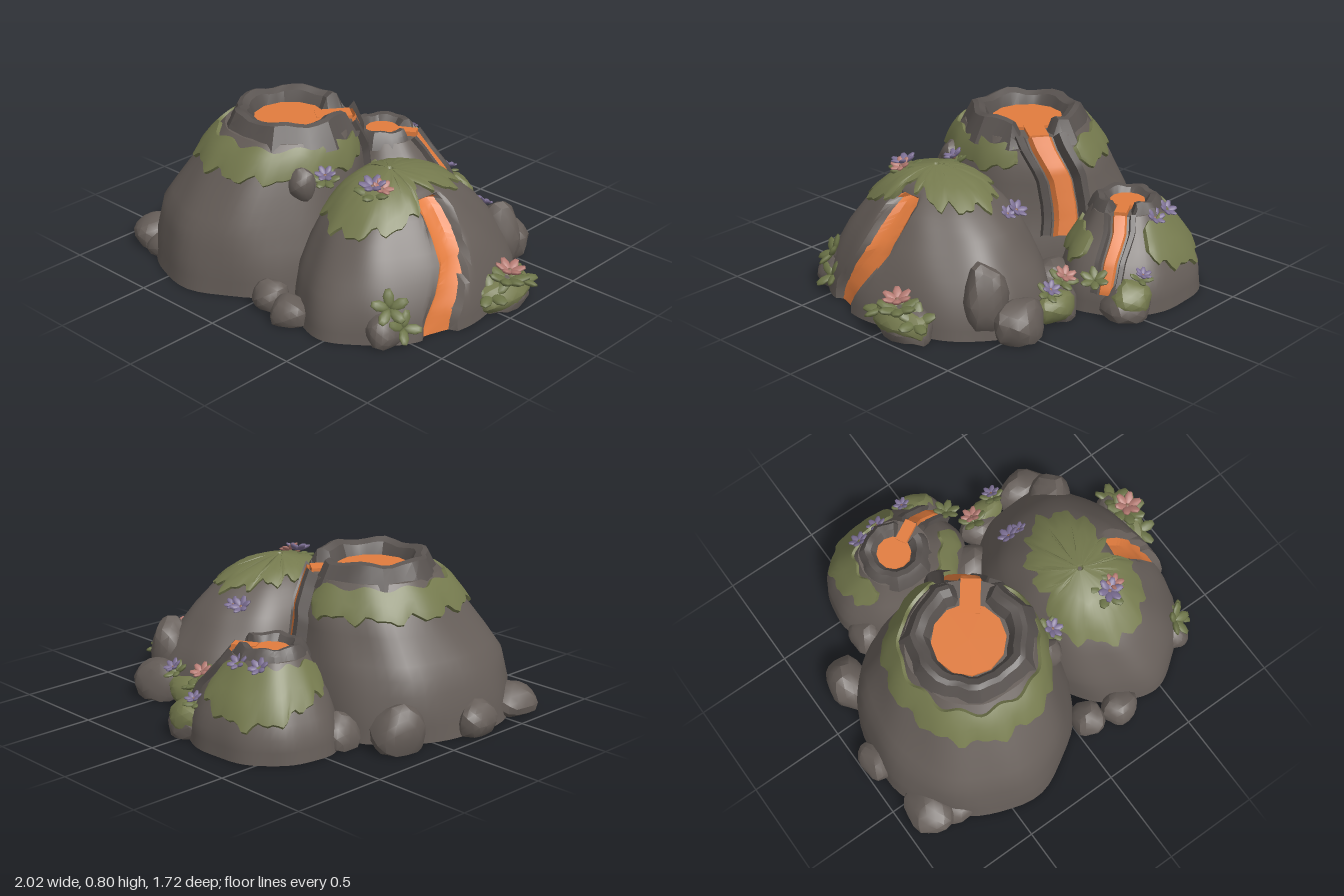
import * as THREE from 'three';
import { toCreasedNormals } from 'three/addons/utils/BufferGeometryUtils.js';

const material = (name, color, side = THREE.FrontSide) => {
  const m = new THREE.MeshStandardMaterial({ color, side });
  m.name = name;
  return m;
};
const rad = THREE.MathUtils.degToRad, { lerp, clamp, smoothstep } = THREE.MathUtils;

// Grid surface from fn(u, v) with u around and v upward; outward faces.
function grid(nu, nv, fn, crease = 0.55) {
  const pos = [], idx = [];
  for (let i = 0; i <= nu; i++) for (let j = 0; j <= nv; j++) pos.push(...fn(i / nu, j / nv, i, j));
  for (let i = 0; i < nu; i++) for (let j = 0; j < nv; j++) {
    const a = i * (nv + 1) + j, b = a + nv + 1;
    idx.push(a, a + 1, b, b, a + 1, b + 1);
  }
  const g = new THREE.BufferGeometry();
  g.setAttribute('position', new THREE.Float32BufferAttribute(pos, 3));
  g.setIndex(idx);
  return toCreasedNormals(g, crease);
}

// Stream paths as [degrees, y], running downhill
const MAIN_PATH = [[-53, .71], [-58, .6], [-62, .5], [-62, .38], [-60, .22]];
const HILL_PATH = [[3, .55], [5, .45], [7, .3], [14, .2], [21.5, .08], [22.5, 0]];
const SMALL_PATH = [[-29, .43], [-31, .36], [-27, .26], [-24, .1]];

// Mounds; rings are [y, centre x, centre z, radius x, radius z]
const MAIN = { rings: [[0, -.39, .27, .54, .58], [.15, -.385, .265, .53, .57], [.3, -.38, .26, .49, .54],
  [.42, -.35, .24, .44, .49], [.55, -.32, .21, .39, .43], [.65, -.3, .2, .345, .365], [.71, -.29, .185, .31, .32]] };
const HILL = { groove: HILL_PATH, rings: [[0, .44, .12, .46, .63], [.1, .44, .12, .45, .615], [.2, .43, .12, .43, .58],
  [.32, .42, .125, .385, .5], [.42, .405, .125, .33, .425], [.5, .4, .13, .275, .34], [.56, .39, .14, .215, .265],
  [.6, .385, .155, .16, .2], [.625, .38, .17, .09, .12], [.64, .38, .175, .01, .01]] };
const SMALL = { rings: [[0, -.26, -.53, .39, .33], [.12, -.26, -.53, .38, .32], [.24, -.26, -.52, .325, .275],
  [.34, -.27, -.51, .245, .215], [.43, -.275, -.5, .185, .17]] };

// Angle of a path at height y
function pathAngle(path, y) {
  let k = 0;
  while (k < path.length - 2 && y < path[k + 1][1]) k++;
  const [[a0, y0], [a1, y1]] = [path[k], path[k + 1]];
  return rad(lerp(a0, a1, clamp((y0 - y) / (y0 - y1), 0, 1)));
}

// Point on a mound at angle a (radians) and height y, pushed out by lift
function onMound({ rings, groove }, a, y, lift = 0, shrink = 1) {
  y = clamp(y, 0, rings[rings.length - 1][0]);
  let k = 0;
  while (k < rings.length - 2 && y > rings[k + 1][0]) k++;
  const f = (y - rings[k][0]) / (rings[k + 1][0] - rings[k][0]);
  const [, cx, cz, rx, rz] = rings[k].map((p, n) => lerp(p, rings[k + 1][n], f));
  const bump = (1 + .014 * Math.sin(5 * a + 4 * y) + .01 * Math.sin(9 * a - 6 * y + 1)) * shrink;
  let out = lift * Math.min(1, .4 + rx * 1.5);
  if (groove) {
    const d = a - pathAngle(groove, y), arc = Math.abs(Math.atan2(Math.sin(d), Math.cos(d))) * (rx + rz) / 2;
    out -= lerp(.05, .1, y / .55) * shrink * (1 - smoothstep(arc, .058, .085)) * (1 - smoothstep(y, .53, .57));
  }
  return [cx + Math.cos(a) * (rx * bump + out), y + (y > .01 ? lift * .7 : 0), cz + Math.sin(a) * (rz * bump + out)];
}

function moundGeometry(mound, segments) {
  const { rings } = mound, rows = [[0, 0]];
  rings.forEach((r, i) => {
    rows.push([r[0], 1]);
    if (i < rings.length - 1) rows.push([(r[0] + rings[i + 1][0]) / 2, 1]);
  });
  rows.push([rings[rings.length - 1][0], 0]);
  return grid(segments, rows.length - 1, (u, v, i, j) => onMound(mound, u * Math.PI * 2, rows[j][0], 0, rows[j][1]));
}

// Ragged moss blanket between two heights over an arc in degrees
function mossGeometry(mound, from, to, low, high) {
  const n = Math.round((to - from) / 4), lifts = [-.012, .014, .018, .018, .018, .016, -.012];
  const steps = [0, .02, .25, .5, .75, .98, 1];
  return grid(n, 6, (u, v, i, j) => {
    const a = rad(from + (to - from) * u);
    const jag = .016 * Math.sin(a * 13) + .012 * Math.sin(a * 23 + 2);
    const end = Math.min(1, Math.min(i, n - i) / 3);
    const lo = low(a) + jag, hi = high + .012 * Math.sin(a * 11 + 1);
    const y = lerp((lo + hi) / 2, lerp(lo, hi, steps[j]), to - from < 360 ? .35 + .65 * end : 1);
    return onMound(mound, a, y, to - from < 360 && (i === 0 || i === n) ? -.012 : lifts[j]);
  }, .9);
}

// Strip running down a mound along a path; offset shifts it sideways
function stripGeometry(mound, path, half, lift, offset = 0) {
  const top = path[0][1], bottom = path[path.length - 1][1];
  return grid(4, 24, (u, v, i) => {
    const y = lerp(bottom, top, v), a = pathAngle(path, y);
    const p = onMound(mound, a, y), q = onMound(mound, a + Math.PI, y);
    const r = Math.max(.1, Math.hypot(p[0] - q[0], p[2] - q[2]) / 2);
    return onMound(mound, a + (offset + (u * 2 - 1) * half) / r, y, i === 0 || i === 4 ? -.02 : lift);
  });
}

// Crater wall with an opening at the given angle
function rimGeometry(cx, cz, y0, profile, gap, gapHalf) {
  const n = 30;
  return grid(n, profile.length - 1, (u, v, i, j) => {
    const a = rad(gap + gapHalf + (360 - 2 * gapHalf) * u);
    const [r, h] = profile[j], end = i === 0 || i === n ? .1 : 1;
    const rr = r * (1 + .03 * Math.sin(a * 7) + .02 * Math.sin(a * 12 + 1));
    return [cx + Math.cos(a) * rr, y0 + h * end * (1 + .07 * Math.sin(a * 6 + 2) - .05), cz + Math.sin(a) * rr];
  }, .45);
}

// Lumpy stone, flattened where it meets the ground
function boulderGeometry(x, y, z, rx, ry, rz) {
  const g = new THREE.IcosahedronGeometry(1, 2), p = g.attributes.position;
  for (let i = 0; i < p.count; i++) {
    const a = p.getX(i), b = p.getY(i), c = p.getZ(i);
    const s = 1 + .06 * Math.sin(3 * a + 5 * c + x * 20) + .05 * Math.sin(4 * b - 3 * a + z * 20);
    p.setXYZ(i, x + a * rx * s, Math.max(0, y + b * ry * s), z + c * rz * s);
  }
  return toCreasedNormals(g, .5);
}

export function createModel() {
  const model = new THREE.Group();
  model.name = 'volcanicIsland';
  const rock = material('rock', 0x665e59), basalt = material('dark basalt', 0x58524f);
  const moss = material('moss', 0x757a4e, THREE.DoubleSide), lava = material('lava', 0xe27c3e, THREE.DoubleSide);
  const leaf = material('leaf', 0x6c7448), pink = material('pink petal', 0xb47a72);
  const purple = material('purple petal', 0x7c6f94), pollen = material('flower centre', 0x8f6a58);
  const add = (name, geo, mat, parent = model) => {
    const m = new THREE.Mesh(geo, mat);
    m.name = name;
    parent.add(m);
    return m;
  };

  // Mounds
  add('mainVolcano', moundGeometry(MAIN, 60), rock);
  add('roundHill', moundGeometry(HILL, 140), rock);
  add('smallVolcano', moundGeometry(SMALL, 60), rock);

  // Crater walls and lava pools
  add('mainCraterRim', rimGeometry(-.28, .18, .66, [[.34, 0], [.305, .07], [.275, .13], [.25, .14], [.215, .12], [.185, .05], [.175, 0]], -53, 14), basalt);
  add('smallCraterRim', rimGeometry(-.275, -.495, .4, [[.19, 0], [.165, .06], [.145, .085], [.115, .08], [.085, .04], [.08, 0]], -29, 17), basalt);
  for (const [name, r, x, y, z] of [['mainLavaPool', .182, -.29, .715, .18], ['smallLavaPool', .088, -.28, .44, -.495]])
    add(name, new THREE.CylinderGeometry(r, r, .02, 12), lava).position.set(x, y, z);

  // Lava outlets joining pool and stream
  for (const [name, x, y, z, len, w, turn] of [['mainLavaOutlet', -.157, .712, .005, .18, .1, 53], ['smallLavaOutlet', -.165, .44, -.555, .12, .06, 29]]) {
    const m = add(name, new THREE.BoxGeometry(len, .03, w), lava);
    m.position.set(x, y, z);
    m.rotation.y = rad(turn);
  }

  // Lava streams; the volcanoes' streams run between raised banks
  add('mainLavaStream', stripGeometry(MAIN, MAIN_PATH, .085, .02), lava);
  add('mainWestBank', stripGeometry(MAIN, MAIN_PATH, .035, .05, -.1), basalt);
  add('mainEastBank', stripGeometry(MAIN, MAIN_PATH, .035, .03, .1), basalt);
  add('hillLavaStream', stripGeometry(HILL, HILL_PATH, .064, .01), lava);
  add('smallLavaStream', stripGeometry(SMALL, SMALL_PATH, .052, .014), lava);
  for (const s of [-1, 1])
    add('smallStreamBank', stripGeometry(SMALL, SMALL_PATH, .022, .026, s * .064), basalt);

  // Moss blankets
  const hillLow = [.6, .47, .43, .45, .565, .555, .52, .53];
  const hillEdge = a => {
    const t = (a / (Math.PI / 4)) % 8, k = Math.floor(t);
    return lerp(hillLow[k], hillLow[(k + 1) % 8], smoothstep(t - k, 0, 1));
  };
  add('mainMossBand', mossGeometry(MAIN, -35, 282, () => .55, .685), moss);
  add('hillMossCap', mossGeometry(HILL, 0, 360, hillEdge, .66), moss);
  add('smallMossBack', mossGeometry(SMALL, 140, 300, a => .22 + .06 * Math.cos(a * 2 + 1), .41), moss);
  add('smallMossFront', mossGeometry(SMALL, 0, 75, () => .22, .35), moss);

  // Boulders
  const boulders = [
    [-.81, .08, -.17, .11, .14, .15], [-.92, .06, .25, .08, .1, .11], [-.84, .05, .6, .12, .1, .14], [-.7, .03, .67, .13, .08, .08],
    [.08, .05, .69, .09, .09, .09], [.25, .04, .73, .1, .09, .09], [.67, .14, .51, .08, .1, .09], [.71, .06, .57, .08, .1, .1],
    [.54, .07, -.52, .14, .13, .11], [.62, .18, -.37, .11, .18, .11], [.02, .53, .41, .07, .09, .07], [.06, .05, -.32, .15, .14, .14],
    [.87, .04, -.1, .1, .12, .16], [.02, .05, -.73, .12, .11, .12], [-.58, .04, -.34, .09, .12, .1], [.24, .05, -.49, .11, .1, .1],
  ];
  boulders.forEach(b => add('boulder', boulderGeometry(...b), rock));
  add('mossyBoulder', boulderGeometry(.01, .09, -.75, .11, .09, .1), moss);
  add('mossyBoulder', boulderGeometry(.89, .07, -.08, .085, .08, .18), moss);
  add('mossyBoulder', boulderGeometry(.3, .08, -.53, .12, .08, .07), moss);

  // Rosettes of petals or leaves around a local up axis
  const blade = new THREE.SphereGeometry(1, 7, 5);
  const rosette = (parent, name, n, len, width, tilt, mat) => {
    for (let i = 0; i < n; i++) {
      const arm = new THREE.Group();
      arm.rotation.set(0, i / n * Math.PI * 2 + n, tilt, 'YXZ');
      const b = add(name, blade, mat, arm);
      b.scale.set(len / 2, width * .25, width / 2);
      b.position.x = len / 2;
      parent.add(arm);
    }
  };
  const plant = (pos, up, size, mat, leaves = 0) => {
    const g = new THREE.Group();
    g.name = mat ? 'flower' : 'leafTuft';
    g.position.set(...pos);
    g.quaternion.setFromUnitVectors(new THREE.Vector3(0, 1, 0), new THREE.Vector3(...up).normalize());
    if (leaves) {
      const base = new THREE.Group();
      base.position.y = mat ? -size * .6 : 0;
      rosette(base, 'leaf', leaves, size * 1.35, size * .75, .35, leaf);
      g.add(base);
    }
    if (mat) {
      rosette(g, 'petal', 6, size, size * .55, .45, mat);
      add('flowerCentre', blade, pollen, g).scale.setScalar(size * .2);
    }
    model.add(g);
  };

  // Flowers and leaf tufts
  plant([.43, .625, .35], [.1, 1, .2], .075, purple, 5);
  plant([.47, .62, .33], [.5, 1, 0], .06, pink);
  plant([.915, .185, -.09], [.15, 1, -.05], .085, pink, 7);
  plant([.9, .1, -.19], [.4, 1, -.4], .08, null, 5);
  plant([.9, .1, .03], [.4, 1, .4], .08, null, 5);
  plant([.21, .2, -.51], [0, 1, -.5], .065, pink, 5);
  plant([.37, .2, -.56], [.1, 1, -.6], .055, purple, 5);
  plant([.24, .47, -.22], [-.2, 1, -.7], .065, purple);
  plant([.3, .47, -.22], [0, 1, -.7], .05, purple);
  plant([-.38, .405, -.66], [-.1, 1, -.7], .06, purple);
  plant([-.26, .405, -.68], [0, 1, -.7], .06, purple);
  plant([-.05, .2, -.78], [0, 1, -.4], .05, purple, 4);
  plant([.1, .57, .33], [.3, 1, .3], .06, purple, 6);
  plant([.12, .18, -.62], [.4, 1, -.3], .06, null, 6);
  plant([.73, .18, .56], [.7, .7, .6], .075, null, 5);
  plant([.78, .08, .52], [.9, .7, .3], .07, null, 4);
  return model;
}
